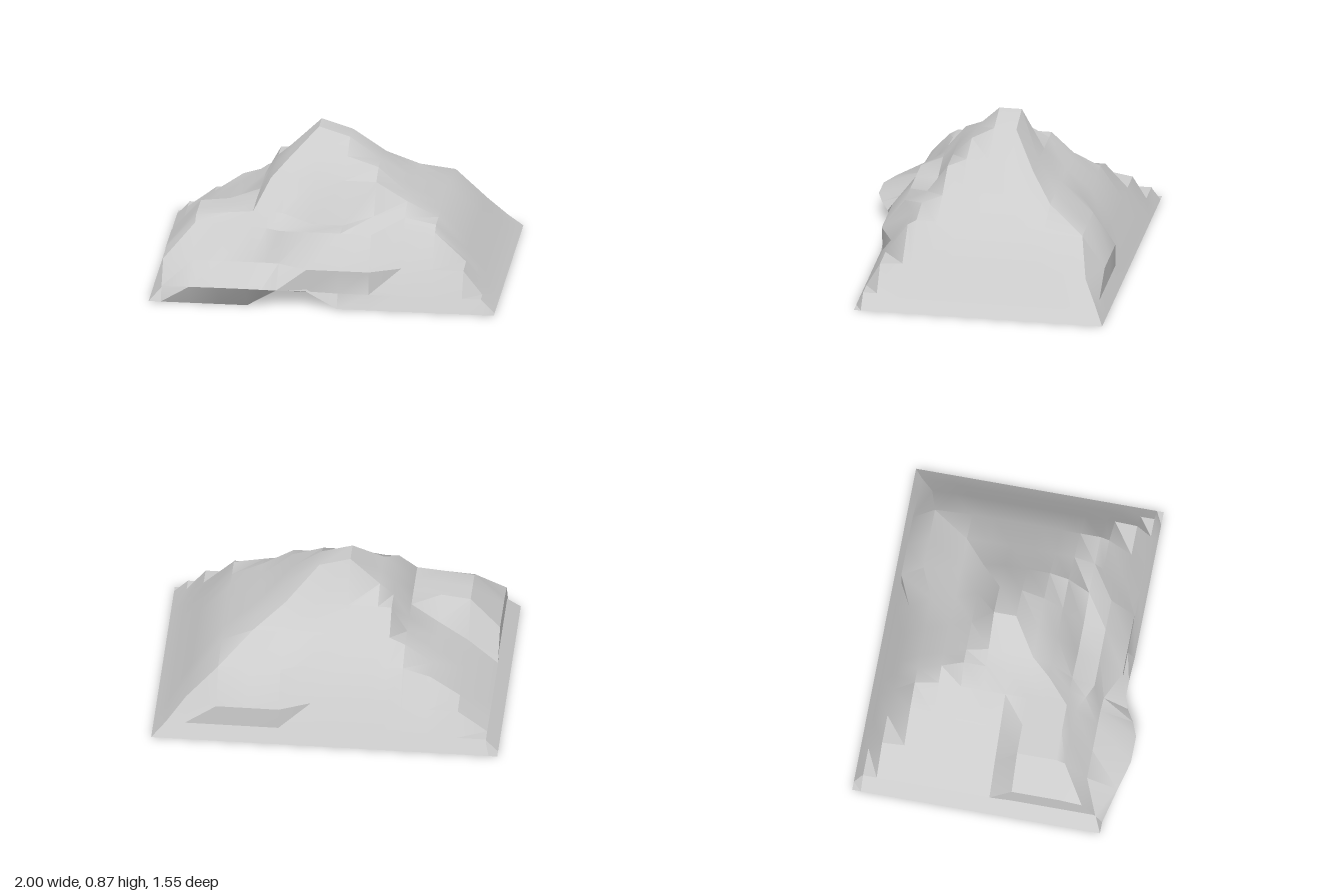
import * as THREE from 'three';
import { toCreasedNormals } from 'three/addons/utils/BufferGeometryUtils.js';

const { clamp, smoothstep } = THREE.MathUtils;
const RIM = 0.08;

// Skyline of the ridge from left to right
const SKYLINE = [
  [-0.93, 0.24], [-0.76, 0.43], [-0.59, 0.45], [-0.43, 0.47], [-0.34, 0.63], [-0.26, 0.7], [-0.09, 0.865],
  [0.09, 0.81], [0.27, 0.68], [0.45, 0.52], [0.63, 0.43], [0.81, 0.23], [0.92, RIM],
];

// Terraces from back to front: each cuts the skyline off at a level.
// Between two x values a terrace may be pushed in z or lifted.
const TERRACES = [
  { z: -0.73, level: RIM },
  { z: -0.65, level: 0.21, from: 0.27, to: 0.63, push: -0.08 },
  { z: -0.52, level: 0.4, from: 0.27, to: 0.63, push: -0.08 },
  { z: -0.38, level: 0.51 },
  { z: -0.25, level: 0.63 },
  { z: -0.12, level: 0.865 },
  { z: 0.01, level: 0.865 },
  { z: 0.14, level: 0.74 },
  { z: 0.25, level: 0.63 },
  { z: 0.37, level: 0.465, from: -0.09, to: 0.09, lift: -0.065 },
  { z: 0.42, level: 0.4, from: -0.26, to: 0.27, push: 0.08 },
  { z: 0.55, level: 0.22, from: -0.09, to: 0.27, push: 0.085 },
  // overhanging lip
  { z: 0.63, level: RIM, from: -0.68, to: -0.4, ramp: 0.25, push: 0.145, lift: 0.06 },
];

// Sloping skirt, cross-section, sloping skirt
function terraceRow({ z, level, from = 0, to = 0, ramp = 0.18, push = 0, lift = 0 }) {
  const middle = SKYLINE.map(([x, height]) => {
    const weight = clamp(1 - Math.max(from - x, x - to) / ramp, 0, 1);
    // the left shoulder drops away behind the summit
    const drop = z < 0.1 ? 0.2 * (1 - smoothstep(x, -0.78, -0.4)) : 0;
    const y = Math.max(RIM, Math.min(height - drop, level));
    return [x, y + lift * weight, z + push * weight];
  });
  return [[-1, 0, z], [-0.925, RIM, z], ...middle, [1, 0, z]];
}

// Ground edge, lifted into a small hollow where asked
function groundRow(z, hollow) {
  const middle = SKYLINE.map(([x]) => [x, hollow * clamp(1 - (Math.abs(x + 0.175) - 0.085) / 0.17, 0, 1), z]);
  return [[-1, 0, z], [-0.95, 0, z], ...middle, [1, 0, z]];
}

// Surface through rows of equal length
function loft(rows) {
  const n = rows[0].length;
  const index = [];
  for (let r = 0; r < rows.length - 1; r++) {
    for (let c = 0; c < n - 1; c++) {
      const a = r * n + c, b = a + n;
      index.push(a, b, a + 1, a + 1, b, b + 1);
    }
  }
  const geometry = new THREE.BufferGeometry();
  geometry.setAttribute('position', new THREE.Float32BufferAttribute(rows.flat(2), 3));
  geometry.setIndex(index);
  return toCreasedNormals(geometry, 0.55);
}

export function createModel() {
  const group = new THREE.Group();
  group.name = 'mountain';
  const material = new THREE.MeshStandardMaterial({ color: 0xcccccc, side: THREE.DoubleSide });
  const add = (name, rows) => {
    const mesh = new THREE.Mesh(loft(rows), material);
    mesh.name = name;
    group.add(mesh);
  };
  const back = groundRow(-0.78, 0);
  const front = groundRow(0.67, 0.1);
  add('slopes', [back, ...TERRACES.map(terraceRow), front]);
  add('underside', [front, back]);
  return group;
}
